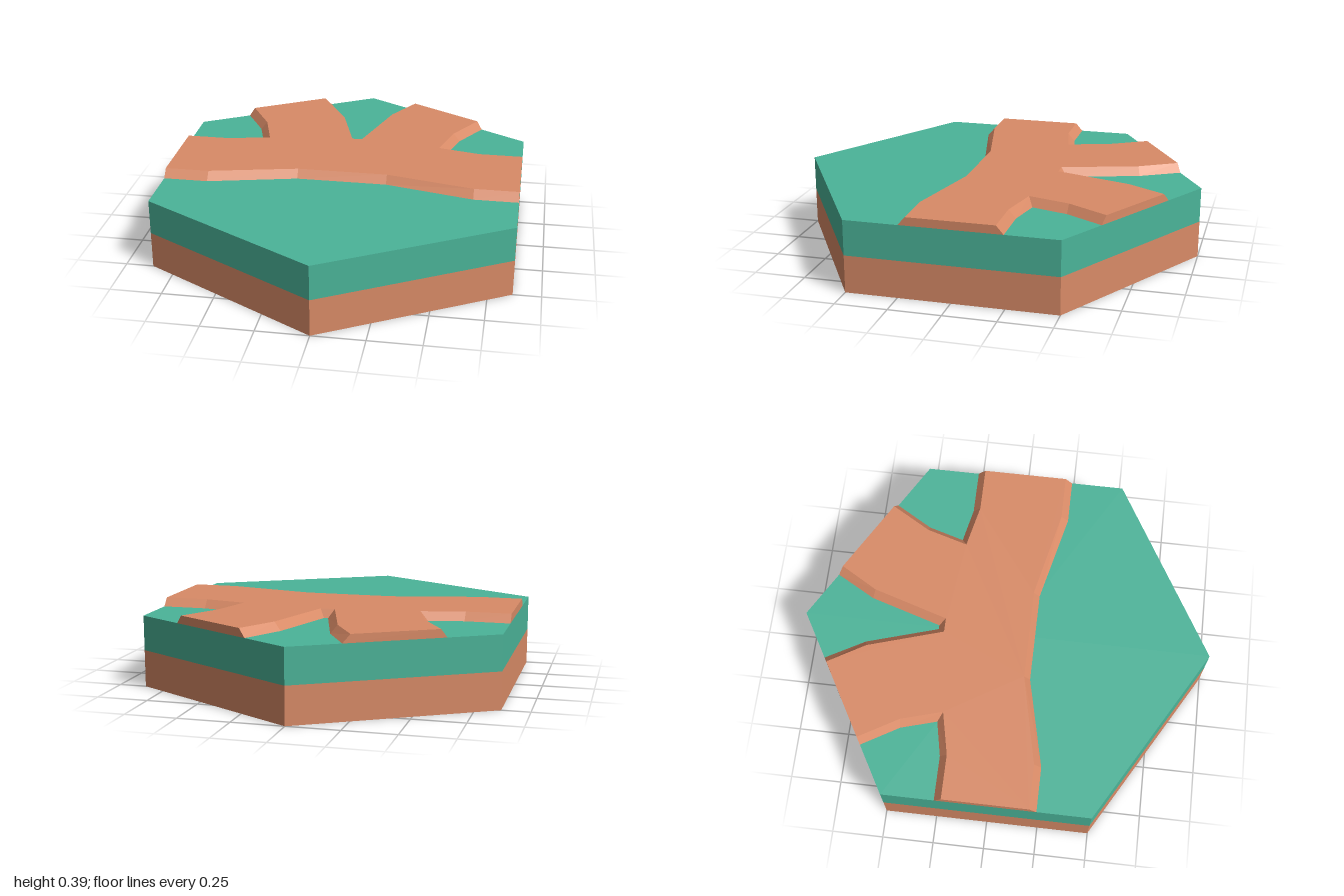
import * as THREE from 'three';

const DIRT_TOP = 0.18, GRASS_TOP = 0.35, PATH_TOP = 0.39;

// Right half of the raised path, front to back: [foot x, foot z, top x, top z]
const HALF = [
  [0.22, 0.14, 0.22, 0.11],
  [0.65, 0.24, 0.65, 0.205],
  [0.866, 0.24, 0.866, 0.205],
  [0.866, -0.245, 0.866, -0.21],
  [0.65, -0.245, 0.65, -0.21],
  [0.482, -0.28, 0.442, -0.255],
  [0.533, -0.453, 0.5, -0.455],
  [0.638, -0.632, 0.612, -0.647],
  [0.222, -0.872, 0.254, -0.853],
  [0.116, -0.683, 0.148, -0.672],
  [0.01, -0.336, 0.035, -0.305],
];

export function createModel() {
  const group = new THREE.Group();
  const material = (name, color) => {
    const m = new THREE.MeshStandardMaterial({ color });
    m.name = name;
    return m;
  };
  const dirt = material('dirt', 0xd98b67);
  const grass = material('grass', 0x4bb499);
  const add = (name, geometry, mat) => {
    const mesh = new THREE.Mesh(geometry, mat);
    mesh.name = name;
    group.add(mesh);
  };

  // Hexagonal slabs, with a corner pointing to the front
  const slab = (y0, y1) => {
    const g = new THREE.CylinderGeometry(1, 1, y1 - y0, 6).toNonIndexed();
    g.computeVertexNormals();
    return g.translate(0, (y0 + y1) / 2, 0);
  };
  add('dirtBase', slab(0, DIRT_TOP), dirt);
  add('grassLayer', slab(DIRT_TOP, GRASS_TOP), grass);

  // Full path outline, mirrored to the left side
  const mirrored = HALF.map(([a, b, c, d]) => [-a, b, -c, d]).reverse();
  const outline = [...HALF, ...mirrored];

  // Flat top of the path
  const shape = new THREE.Shape(outline.map(([, , x, z]) => new THREE.Vector2(x, -z)));
  const top = new THREE.ShapeGeometry(shape);
  top.rotateX(-Math.PI / 2).translate(0, PATH_TOP, 0);
  add('pathTop', top, dirt);

  // Sloping banks, and upright ends flush with the tile edge
  const positions = [];
  outline.forEach(([fx, fz, tx, tz], i) => {
    const [gx, gz, ux, uz] = outline[(i + 1) % outline.length];
    const a = [fx, GRASS_TOP, fz], b = [gx, GRASS_TOP, gz];
    const c = [ux, PATH_TOP, uz], d = [tx, PATH_TOP, tz];
    positions.push(...a, ...b, ...c, ...a, ...c, ...d);
  });
  const banks = new THREE.BufferGeometry();
  banks.setAttribute('position', new THREE.Float32BufferAttribute(positions, 3));
  banks.computeVertexNormals();
  add('pathBanks', banks, dirt);

  return group;
}
